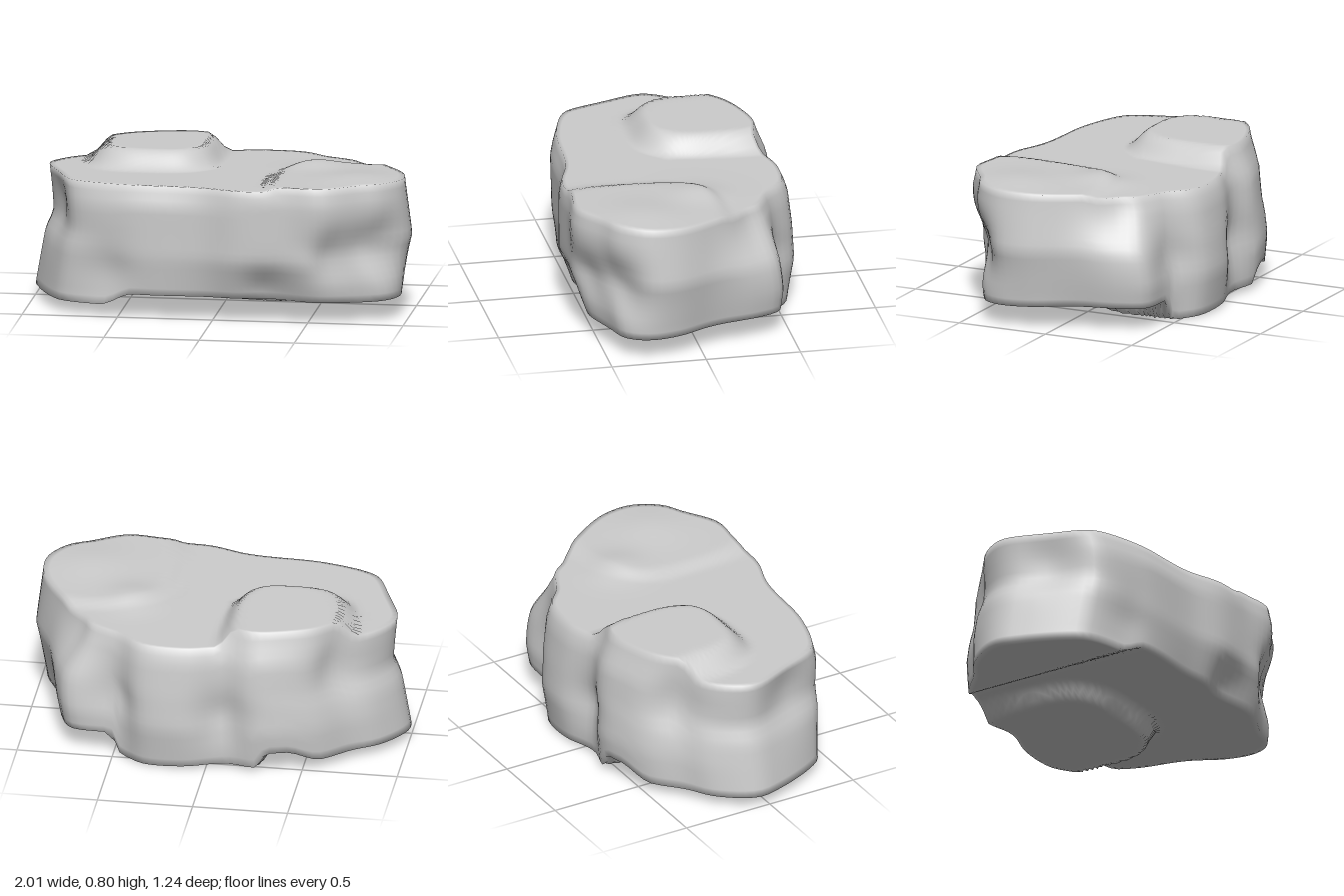
import * as THREE from 'three';

const { smoothstep, lerp } = THREE.MathUtils;

// Plan outline, running from the left end (+x) round the front (+z)
const OUTLINE = [
  [1.0, 0.15], [1.0, 0.31], [0.91, 0.45], [0.8, 0.51], [0.61, 0.62], [0.4, 0.61], [0.15, 0.61],
  [-0.05, 0.56], [-0.5, 0.53], [-0.8, 0.43], [-0.87, 0.34], [-0.97, 0.1], [-1.0, -0.07],
  [-0.88, -0.27], [-0.74, -0.37], [-0.6, -0.5], [-0.45, -0.57], [-0.27, -0.61], [-0.1, -0.57],
  [0.12, -0.62], [0.35, -0.6], [0.5, -0.5], [0.78, -0.46], [0.85, -0.34], [0.91, -0.08],
];

// How far each side reaches at a given height: [height, scale]
const SIDES = {
  left: [[0.13, 0.93], [0.43, 1], [0.73, 0.96]],
  right: [[0.07, 1], [0.36, 0.95], [0.45, 0.91], [0.7, 0.93]],
  frontLeft: [[0.12, 0.86], [0.33, 1], [0.65, 1], [0.73, 0.97]],
  frontRight: [[0.1, 0.94], [0.33, 1], [0.6, 1], [0.72, 0.93]],
  back: [[0.02, 0.94], [0.24, 1], [0.42, 0.98], [0.62, 0.94], [0.78, 0.83]],
};

// Hollows in the wall: x, y, z, radius, depth (negative depth swells)
const DENTS = [
  [0.66, 0.37, 0.57, 0.14, 0.09],
  [0.88, 0.4, 0.44, 0.14, 0.1],
  [0.86, 0.1, 0.38, 0.17, -0.05],
  [0.3, 0.16, 0.6, 0.12, 0.05],
  [-0.93, 0.55, 0.22, 0.16, 0.05],
  [-0.58, 0.25, 0.5, 0.15, 0.04],
  [0.8, 0.68, -0.38, 0.23, 0.15],
  [-0.1, 0.3, -0.57, 0.15, 0.05],
  [0.52, 0.35, -0.5, 0.14, 0.04],
  [-0.72, 0.55, -0.4, 0.16, 0.05],
];

function sample(table, y) {
  if (y <= table[0][0]) return table[0][1];
  for (let i = 1; i < table.length; i++) {
    const [y0, s0] = table[i - 1], [y1, s1] = table[i];
    if (y <= y1) return lerp(s0, s1, (y - y0) / (y1 - y0));
  }
  return table[table.length - 1][1];
}

// Rounded plateau: 1 inside radii rx, rz and sloping to 0 at the given multiple of them
function plateau(x, z, cx, cz, rx, rz, edge) {
  const r = (Math.abs((x - cx) / rx) ** 3.2 + Math.abs((z - cz) / rz) ** 3.2) ** (1 / 3.2);
  return 1 - smoothstep(r, 1, edge);
}
const bell = (x, z, cx, cz, r) => Math.exp(-((x - cx) ** 2 + (z - cz) ** 2) / (r * r));

// Top face with its raised slab at the back and low plate at the left end
function topHeight(x, z) {
  return 0.7 + 0.02 * z
    + 0.1 * plateau(x, z, -0.39, -0.28, 0.25, 0.3, 1.45)
    + 0.025 * plateau(x, z, 0.74, 0.3, 0.42, 0.42, 1.2)
    + 0.025 * bell(x, z, 0.46, -0.07, 0.14) + 0.02 * bell(x, z, 0.73, 0.28, 0.2);
}

// Underside with the foot at the back and the low toe at the right end
function bottomHeight(x, z) {
  const foot = plateau(x, z, 0.08, -0.32, 0.38, 0.36, 1.16);
  const toe = 1 - smoothstep(x, -0.6, -0.42);
  const base = 0.13 - 0.065 * toe - 0.025 * bell(x, z, 0.7, 0.3, 0.3);
  return lerp(base, 0.025 - 0.045 * x, foot);
}

function wallPoint(p, y) {
  const front = lerp(sample(SIDES.frontRight, y), sample(SIDES.frontLeft, y),
    smoothstep(p.x, -0.3, 0.3));
  const x = p.x * sample(p.x > 0 ? SIDES.left : SIDES.right, y);
  const z = p.z * (p.z > 0 ? front : sample(SIDES.back, y));
  let push = 0;
  for (const [dx, dy, dz, r, depth] of DENTS) {
    push += depth * Math.exp(-((x - dx) ** 2 + (y - dy) ** 2 + (z - dz) ** 2) / (r * r));
  }
  const k = 1 - push / Math.hypot(x, z);
  return [x * k, y, z * k];
}

// Height at which the wall meets a cap
function rimHeight(p, height) {
  let y = height(p.x, p.z);
  for (let i = 0; i < 10; i++) {
    const [x, , z] = wallPoint(p, y);
    y = lerp(y, height(x, z), 0.5);
  }
  return y;
}

function boulderGeometry() {
  const around = 120, wallRows = 16, capRows = 28;
  const curve = new THREE.CatmullRomCurve3(
    OUTLINE.map(([x, z]) => new THREE.Vector3(x, 0, z)), true, 'centripetal');
  const rim = curve.getSpacedPoints(around).slice(0, around);
  const high = rim.map((p) => rimHeight(p, topHeight));
  const low = rim.map((p) => rimHeight(p, bottomHeight));
  const rows = [];

  // Walls from the top rim down to the bottom rim
  for (let i = 0; i <= wallRows; i++) {
    rows.push(rim.map((p, j) => wallPoint(p, lerp(high[j], low[j], i / wallRows))));
  }
  // Caps: rings shrinking to the middle and following the height rules
  const topRim = rows[0], lowRim = rows[wallRows];
  const ring = (edge, s, height) =>
    edge.map(([x, , z]) => [x * s, height(x * s, z * s), z * s]);
  for (let i = 1; i <= capRows; i++) {
    const s = Math.max(1 - i / capRows, 0.001);
    rows.unshift(ring(topRim, s, topHeight));
    rows.push(ring(lowRim, s, bottomHeight));
  }

  const index = [];
  for (let i = 0; i < rows.length - 1; i++) {
    for (let j = 0; j < around; j++) {
      const k = (j + 1) % around;
      const a = i * around + j, b = i * around + k, c = a + around, d = b + around;
      index.push(a, b, c, b, d, c);
    }
  }
  const geometry = new THREE.BufferGeometry();
  geometry.setAttribute('position', new THREE.Float32BufferAttribute(rows.flat(2), 3));
  geometry.setIndex(index);
  geometry.computeVertexNormals();
  return geometry;
}

export function createModel() {
  const group = new THREE.Group();
  group.name = 'rock';
  const boulder = new THREE.Mesh(
    boulderGeometry(), new THREE.MeshStandardMaterial({ color: 0xcccccc }));
  boulder.name = 'boulder';
  group.add(boulder);
  return group;
}
